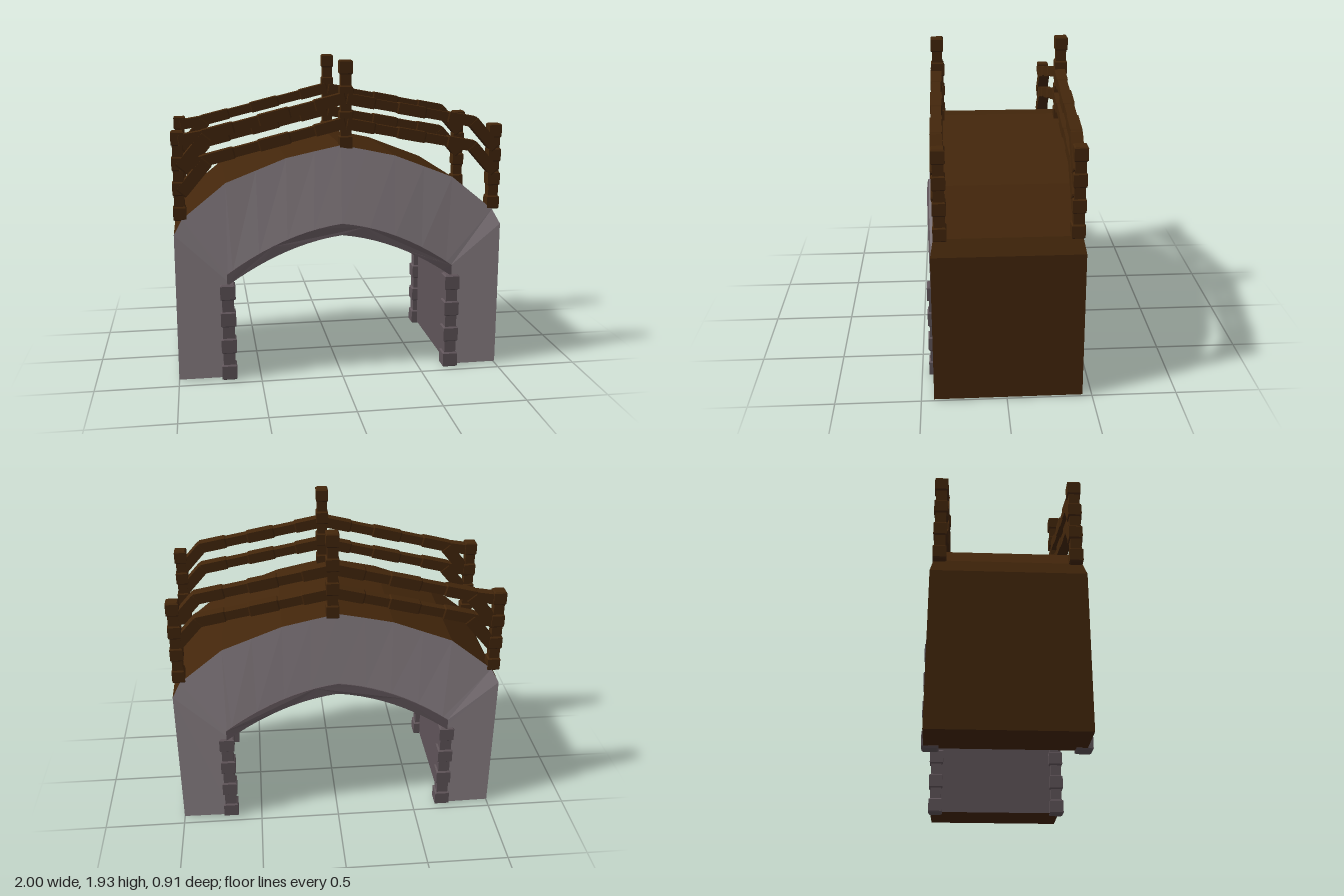
import * as THREE from 'three';

const mat = (color) => new THREE.MeshStandardMaterial({ color, flatShading: true });
const V = (x, y, z) => new THREE.Vector3(x, y, z);

export function createModel() {
  const group = new THREE.Group();
  const wall = mat(0x8c8287), stone = mat(0x5f5459), wood = mat(0x43260b);

  const add = (name, geometry, material) => {
    const mesh = new THREE.Mesh(geometry, material);
    mesh.name = name;
    group.add(mesh);
    return mesh;
  };

  // Flat quads, corners counter-clockwise from outside
  const quads = (name, list, material) => {
    const points = list.flatMap(([a, b, c, d]) => [a, b, c, a, c, d]);
    const geometry = new THREE.BufferGeometry().setFromPoints(points);
    geometry.computeVertexNormals();
    add(name, geometry, material);
  };

  // Square bar from a to b with bevelled blocks separated by thinner necks
  const blockBar = (name, a, b, wide, thin, blocks, material) => {
    const length = a.distanceTo(b), fill = 0.57;
    const step = length / (blocks - 1 + fill);
    const bevel = 0.008, k = Math.SQRT2;
    const profile = [new THREE.Vector2(0, 0)];
    for (let i = 0; i < blocks; i++) {
      const y0 = i * step, y1 = y0 + step * fill;
      for (const [r, y] of [[thin, y0], [wide, y0 + bevel], [wide, y1 - bevel], [thin, y1]])
        profile.push(new THREE.Vector2(r * k, y));
    }
    profile.push(new THREE.Vector2(0, length));
    const geometry = new THREE.LatheGeometry(profile, 4).rotateY(Math.PI / 4);
    const mesh = add(name, geometry, material);
    mesh.position.copy(a);
    mesh.quaternion.setFromUnitVectors(V(0, 1, 0), b.clone().sub(a).normalize());
  };

  // Underside curve of the arch with a slight point at the crown
  const archY = (x) => 0.89 - 0.12 * Math.abs(x) - 0.435 * x * x;
  const soffitY = (x) => archY(x) + 0.06;
  // The crown of the arch sits a little further forward than its feet
  const bow = (x) => 0.02 * (1 - (x / 0.7) ** 2);

  // Half of the body: outer x, y, front z, back z, then inner x, y
  const half = [
    [1, 0.01, 0.425, -0.443, 0.69, 0.01],
    [1, 0.92, 0.425, -0.438, 0.69, 0.62],
    [0.95, 1.01, 0.407, -0.42, 0.69, soffitY(0.69)],
    [0.69, 1.22, 0.407, -0.42, 0.66, soffitY(0.66)],
    [0.51, 1.29, 0.407, -0.42, 0.5, soffitY(0.5)],
    [0.33, 1.36, 0.407, -0.42, 0.33, soffitY(0.33)],
    [0.16, 1.397, 0.407, -0.42, 0.17, soffitY(0.17)],
    [0, 1.43, 0.407, -0.42, 0, soffitY(0)],
  ];
  const mirrored = half.slice(0, -1).reverse();
  const left = half.map(([x, y, f, b, ix, iy]) => [-x, y, f, b, -ix, iy]);
  const stations = [...left, ...mirrored].map(([x, y, f, b, ix, iy]) => ({
    of: V(x, y, f), ob: V(x, y, b),
    nf: V(ix, iy, 0.425 + bow(ix)), nb: V(ix, iy, -0.448 + bow(ix)),
  }));

  const deck = [], faces = [], lining = [];
  for (let i = 0; i < stations.length - 1; i++) {
    const p = stations[i], q = stations[i + 1];
    deck.push([p.of, q.of, q.ob, p.ob]);
    faces.push([p.nf, q.nf, q.of, p.of], [p.ob, q.ob, q.nb, p.nb]);
    lining.push([p.nb, q.nb, q.nf, p.nf]);
  }
  const s = stations[0], e = stations[stations.length - 1];
  deck.push([s.of, s.ob, s.nb, s.nf], [e.nf, e.nb, e.ob, e.of]);
  quads('deck', deck, wood);
  quads('sideWalls', faces, wall);
  quads('archLining', lining, stone);

  // Stone rib around each arch opening, bowed forward at the crown
  const rib = new THREE.Shape();
  const n = 20, xs = Array.from({ length: n + 1 }, (_, i) => -0.695 + (1.39 * i) / n);
  xs.forEach((x, i) => (i ? rib.lineTo(x, archY(x)) : rib.moveTo(x, archY(x))));
  [...xs].reverse().forEach((x) => rib.lineTo(x, archY(x) + 0.07));
  for (const [name, z] of [['frontArchRib', 0.36], ['backArchRib', -0.455]]) {
    const geometry = new THREE.ExtrudeGeometry(rib, { depth: 0.075, bevelEnabled: false });
    const p = geometry.attributes.position;
    for (let i = 0; i < p.count; i++) p.setZ(i, p.getZ(i) + z + bow(p.getX(i)));
    geometry.computeVertexNormals();
    add(name, geometry, stone);
  }

  // Corner pillars of the passage
  for (const x of [-0.693, 0.696])
    for (const z of [-0.413, 0.41])
      blockBar('pillar', V(x, 0, z), V(x, 0.605, z), 0.046, 0.036, 4, stone);

  // Railings: posts, two stepped rails on each half, sloping braces
  for (const [postZ, railZ] of [[0.37, 0.378], [-0.388, -0.38]]) {
    const post = (name, x, y) =>
      blockBar(name, V(x, y, postZ), V(x, y + 0.53, postZ), 0.038, 0.031, 4, wood);
    post('endPost', -0.961, 1.0);
    post('centrePost', 0.031, 1.4);
    post('endPost', 0.955, 1.01);

    const bar = (name, x0, y0, x1, y1, blocks, wide, thin) =>
      blockBar(name, V(x0, y0, railZ), V(x1, y1, railZ), wide, thin, blocks, wood);
    for (const drop of [0, 0.148]) {
      bar('leftRail', 0.03, 1.71 - drop, -0.82, 1.5 - drop, 3, 0.033, 0.028);
      bar('leftRailEnd', -0.78, 1.505 - drop, -0.96, 1.475 - drop, 1, 0.032, 0.028);
      bar('leftBrace', -0.79, 1.5 - drop, -0.95, 1.31 - drop, 1, 0.036, 0.032);
      bar('rightRail', 0.03, 1.705 - drop, 0.83, 1.552 - drop, 3, 0.033, 0.028);
      bar('rightBrace', 0.81, 1.56 - drop, 0.96, 1.39 - drop, 1, 0.034, 0.03);
    }
  }
  return group;
}
